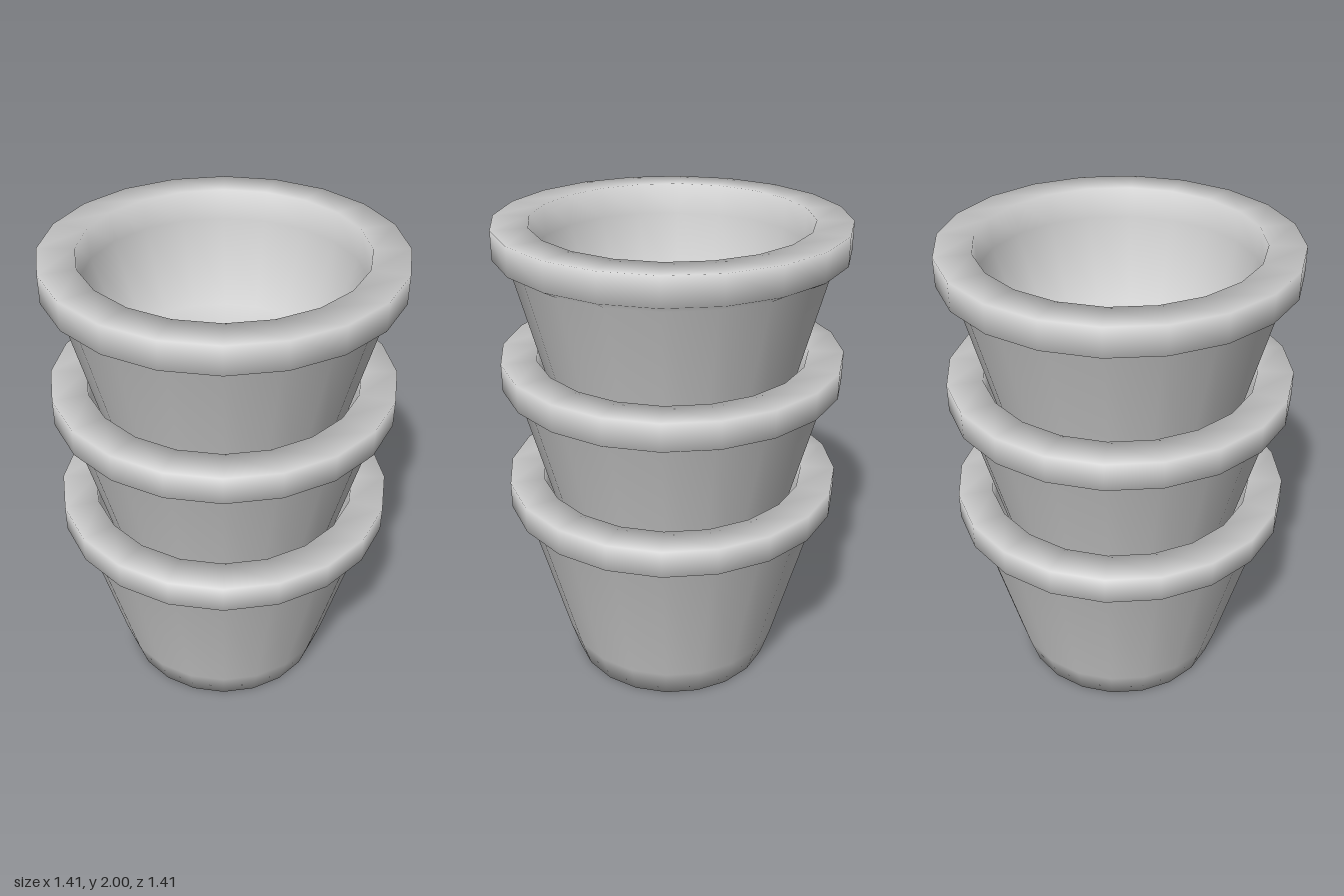
import * as THREE from 'three';

// Three identical thick-rimmed pots nested in a stack
export function createModel() {
  const group = new THREE.Group();
  group.name = 'potStack';

  const grey = new THREE.MeshStandardMaterial({ color: 0xcccccc });
  grey.name = 'light grey';

  // Closed profile: underside, outer wall, rim, inner wall, floor
  const profile = [
    [0, 0], [0.44, 0], [0.48, 0.13], [0.643, 0.765],
    [0.705, 0.8], [0.705, 0.915], [0.56, 0.915],
    [0.555, 0.79], [0.43, 0.45], [0, 0.45],
  ].map(([r, y]) => new THREE.Vector2(r, y));
  const potGeometry = new THREE.LatheGeometry(profile, 20);

  const names = ['bottomPot', 'middlePot', 'topPot'];
  names.forEach((name, i) => {
    const pot = new THREE.Mesh(potGeometry, grey);
    pot.name = name;
    pot.position.y = i * 0.5425;
    group.add(pot);
  });

  return group;
}
